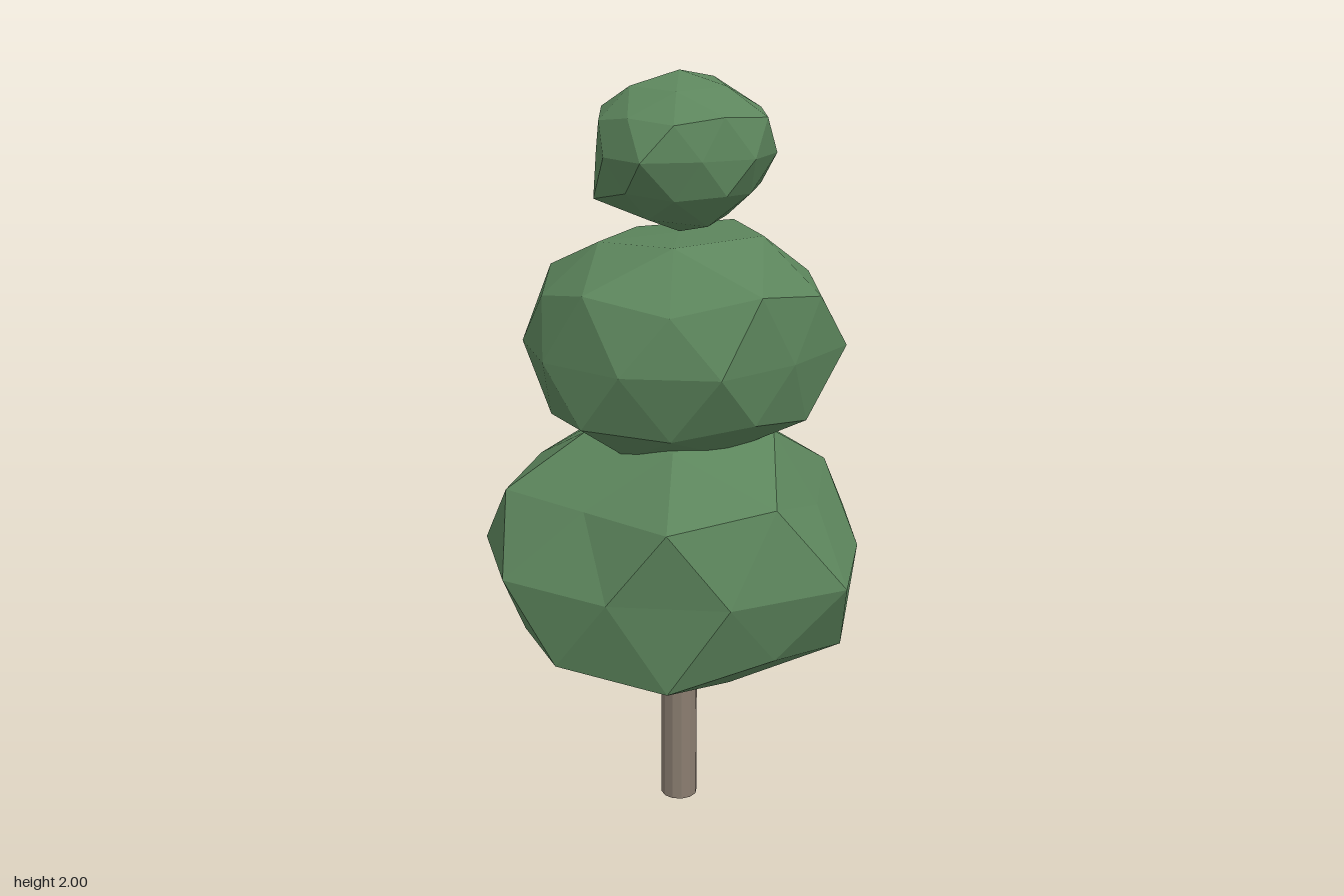
import * as THREE from 'three';

const leafMat = new THREE.MeshStandardMaterial({ color: 0x5c855c, flatShading: true });
const trunkMat = new THREE.MeshStandardMaterial({ color: 0x8a7d70, flatShading: true });
const CENTRE_Z = -0.01;
const SQUASH = 0.8;

// Heights of the vertex rings of a once-divided icosahedron standing on a corner
const RINGS = [1, 0.851, 0.526, 0.447, 0, -0.447, -0.526, -0.851, -1];

// Faceted clump: each ring lists its radii, going round from +x towards +z
function foliage(name, y, radii) {
  const geo = new THREE.IcosahedronGeometry(1, 1);
  geo.rotateX(-Math.atan2(0.850651, 0.525731));
  geo.rotateY(Math.PI / 2);
  const pos = geo.attributes.position;
  const v = new THREE.Vector3();
  for (let i = 0; i < pos.count; i++) {
    v.fromBufferAttribute(pos, i).normalize();
    const ring = radii[RINGS.findIndex((h) => Math.abs(h - v.y) < 0.03)];
    const turn = (Math.atan2(v.z, v.x) / (2 * Math.PI) + 1.01) % 1;
    v.multiplyScalar(ring[Math.floor(turn * ring.length)]);
    pos.setXYZ(i, v.x, v.y * SQUASH, v.z);
  }
  geo.computeVertexNormals();
  const mesh = new THREE.Mesh(geo, leafMat);
  mesh.name = name;
  mesh.position.set(0, y, CENTRE_Z);
  return mesh;
}

export function createModel() {
  const tree = new THREE.Group();
  tree.name = 'tree';

  // Trunk, running up into the lowest clump
  const trunk = new THREE.Mesh(new THREE.CylinderGeometry(0.05, 0.05, 0.5, 12), trunkMat);
  trunk.name = 'trunk';
  trunk.position.set(0, 0.25, CENTRE_Z);
  tree.add(trunk);

  // Three clumps of foliage, shrinking upwards
  tree.add(foliage('lowerFoliage', 0.76, [
    [0.46],
    [0.5, 0.48, 0.48, 0.48, 0.47],
    [0.523, 0.44, 0.48, 0.445, 0.48],
    [0.43, 0.54, 0.52, 0.56, 0.47],
    [0.544, 0.5, 0.487, 0.53, 0.525, 0.549, 0.534, 0.47, 0.558, 0.479],
    [0.5, 0.546, 0.46, 0.523, 0.48],
    [0.538, 0.55, 0.5, 0.5, 0.48],
    [0.47, 0.48, 0.485, 0.47, 0.47],
    [0.525],
  ]));
  tree.add(foliage('middleFoliage', 1.31, [
    [0.36],
    [0.43, 0.42, 0.4, 0.4, 0.43],
    [0.436, 0.43, 0.43, 0.427, 0.41],
    [0.425, 0.4, 0.4, 0.41, 0.4],
    [0.37, 0.405, 0.395, 0.4, 0.41, 0.39, 0.416, 0.375, 0.37, 0.433],
    [0.39, 0.423, 0.43, 0.4, 0.4],
    [0.41, 0.4, 0.4, 0.4, 0.396],
    [0.37, 0.39, 0.37, 0.37, 0.37],
    [0.325],
  ]));
  tree.add(foliage('upperFoliage', 1.8, [
    [0.25],
    [0.24, 0.23, 0.24, 0.24, 0.26],
    [0.24, 0.23, 0.25, 0.26, 0.25],
    [0.26, 0.24, 0.23, 0.24, 0.25],
    [0.24, 0.22, 0.255, 0.22, 0.21, 0.22, 0.23, 0.26, 0.24, 0.245],
    [0.24, 0.23, 0.215, 0.24, 0.24],
    [0.224, 0.23, 0.26, 0.24, 0.23],
    [0.25, 0.23, 0.22, 0.24, 0.24],
    [0.25],
  ]));
  return tree;
}
